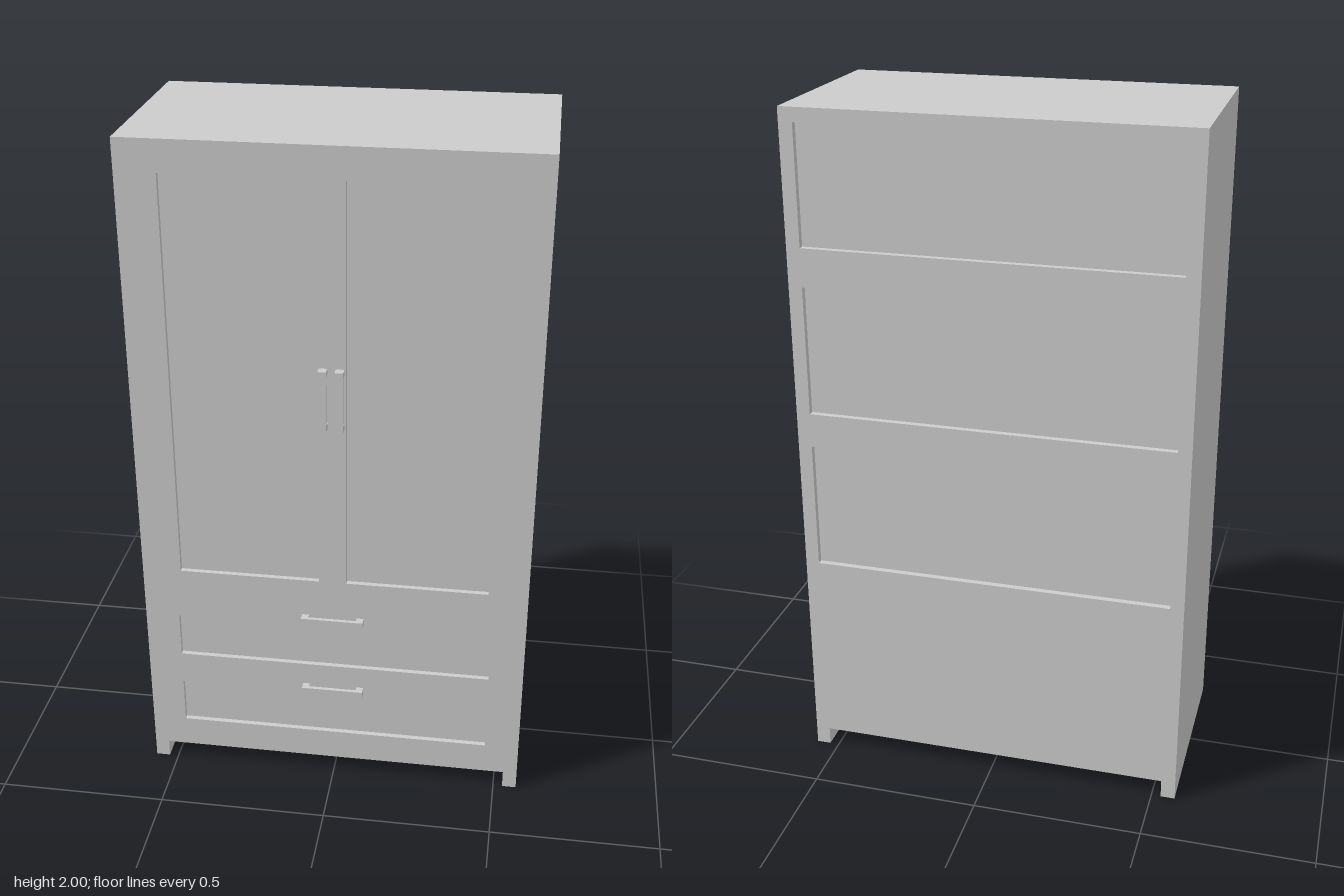
import * as THREE from 'three';

const material = new THREE.MeshStandardMaterial({ color: 0xcccccc });
const HALF = 0.57, TOP = 2, BACK = -0.315, FRONT = 0.29;
const FOOT_W = 0.042, FOOT_H = 0.055;

// Front outline with the gap between the two side feet; holes are [x0, y0, x1, y1]
function slab(name, z0, z1, holes = []) {
  const inner = HALF - FOOT_W;
  const shape = new THREE.Shape([
    [-HALF, 0], [-inner, 0], [-inner, FOOT_H], [inner, FOOT_H],
    [inner, 0], [HALF, 0], [HALF, TOP], [-HALF, TOP],
  ].map(([x, y]) => new THREE.Vector2(x, y)));
  for (const [x0, y0, x1, y1] of holes) {
    shape.holes.push(new THREE.Path([
      new THREE.Vector2(x0, y0), new THREE.Vector2(x0, y1),
      new THREE.Vector2(x1, y1), new THREE.Vector2(x1, y0),
    ]));
  }
  const geometry = new THREE.ExtrudeGeometry(shape, { depth: z1 - z0, bevelEnabled: false });
  geometry.translate(0, 0, z0);
  const mesh = new THREE.Mesh(geometry, material);
  mesh.name = name;
  return mesh;
}

// Pull handle lying along x: a bar on two posts, standing out from z = 0
function pullHandle(name, length, width, postLength, barDepth) {
  const group = new THREE.Group();
  group.name = name;
  const reach = 0.025;
  const bar = new THREE.Mesh(new THREE.BoxGeometry(length, width, barDepth), material);
  bar.name = 'handleBar';
  bar.position.z = reach - barDepth / 2;
  group.add(bar);
  for (const side of [-1, 1]) {
    const post = new THREE.Mesh(new THREE.BoxGeometry(postLength, width, reach - barDepth), material);
    post.name = 'handlePost';
    post.position.set(side * (length - postLength) / 2, 0, (reach - barDepth) / 2);
    group.add(post);
  }
  return group;
}

export function createModel() {
  const wardrobe = new THREE.Group();
  wardrobe.name = 'wardrobe';
  const frontRecess = 0.015, backRecess = 0.018;

  // Solid carcass between the front and back frames
  wardrobe.add(slab('carcass', BACK + backRecess, FRONT - frontRecess));

  // Front frame: two door panels above two drawer panels
  wardrobe.add(slab('frontFrame', FRONT - frontRecess, FRONT, [
    [-0.455, 0.7, -0.04, 1.91],
    [0.04, 0.7, 0.455, 1.91],
    [-0.468, 0.4, 0.468, 0.54],
    [-0.468, 0.152, 0.468, 0.296],
  ]));

  // Back frame: three wide recessed panels
  wardrobe.add(slab('backFrame', BACK, BACK + backRecess, [
    [-0.53, 1.617, 0.53, 1.96],
    [-0.53, 1.127, 0.53, 1.505],
    [-0.53, 0.645, 0.53, 1.025],
  ]));

  // Upright door handles
  for (const side of [-1, 1]) {
    const handle = pullHandle('doorHandle', 0.18, 0.024, 0.017, 0.006);
    handle.rotation.z = Math.PI / 2;
    handle.position.set(side * 0.0235, 1.295, FRONT);
    wardrobe.add(handle);
  }

  // Level drawer handles
  for (const y of [0.57, 0.318]) {
    const handle = pullHandle('drawerHandle', 0.184, 0.022, 0.021, 0.011);
    handle.position.set(0, y, FRONT);
    wardrobe.add(handle);
  }
  return wardrobe;
}
